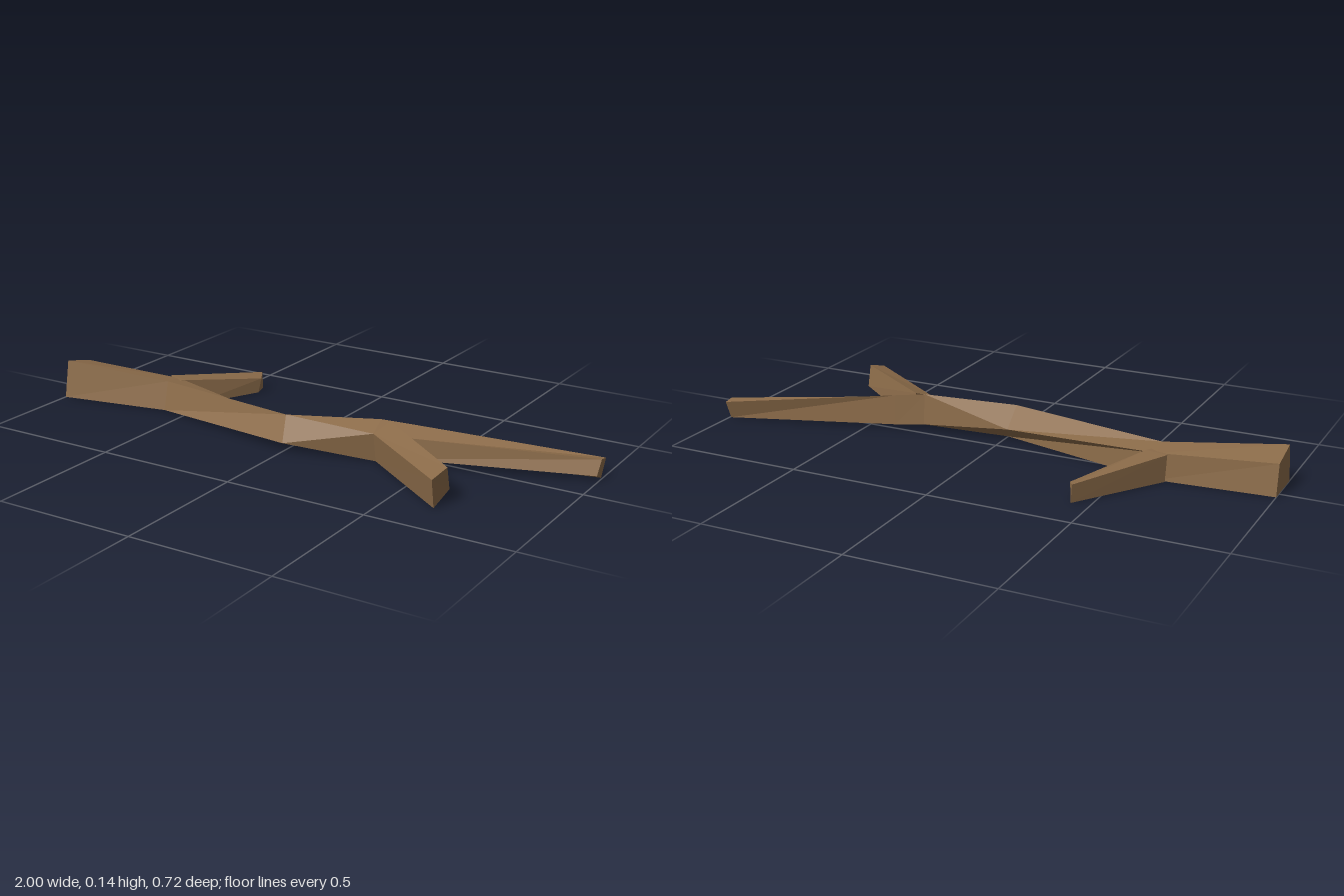
import * as THREE from 'three';

const bark = new THREE.MeshStandardMaterial({ color: 0x8b6b49, flatShading: true });
bark.name = 'bark brown';

// Four-sided limb lofted through sections, each listed as
// top right, top left, bottom left, bottom right along the direction of growth.
function limb(name, sections) {
  const pos = [];
  const quad = (a, b, c, d) => pos.push(...a, ...b, ...c, ...a, ...c, ...d);
  for (let k = 0; k < sections.length - 1; k++) {
    const s = sections[k], e = sections[k + 1];
    for (let i = 0; i < 4; i++) {
      const j = (i + 1) % 4;
      quad(s[i], e[i], e[j], s[j]);
    }
  }
  const first = sections[0], last = sections[sections.length - 1];
  quad(first[0], first[1], first[2], first[3]);
  quad(last[0], last[3], last[2], last[1]);
  const geo = new THREE.BufferGeometry();
  geo.setAttribute('position', new THREE.Float32BufferAttribute(pos, 3));
  geo.computeVertexNormals();
  const mesh = new THREE.Mesh(geo, bark);
  mesh.name = name;
  return mesh;
}

export function createModel() {
  const group = new THREE.Group();
  group.name = 'fallenBranch';

  // Main branch, thick end at -x, tapering and twisting towards +x
  group.add(limb('mainBranch', [
    [[-1, 0.135, 0.1], [-1, 0.108, -0.015], [-1, 0, -0.03], [-1, 0, 0.125]],
    [[-0.595, 0.103, 0.025], [-0.605, 0.092, -0.055], [-0.605, 0, -0.06], [-0.595, 0, 0.05]],
    [[-0.02, 0.112, 0.125], [-0.02, 0.045, 0.05], [0, 0, 0.1], [0, 0.03, 0.18]],
    [[0.31, 0.102, 0.11], [0.3, 0.13, 0.04], [0.3, 0.02, 0.03], [0.31, 0, 0.092]],
    [[0.4, 0.096, 0.077], [0.4, 0.121, 0.008], [0.4, 0.014, 0], [0.4, 0.024, 0.085]],
    [[1, 0.07, -0.146], [1, 0.064, -0.183], [0.995, 0, -0.163], [0.995, 0.018, -0.125]],
  ]));

  // Side twig growing to the front
  group.add(limb('frontTwig', [
    [[0.31, 0.102, 0.11], [0.335, 0.129, 0.04], [0.35, 0.021, 0.035], [0.31, 0, 0.092]],
    [[0.655, 0.098, 0.36], [0.67, 0.118, 0.287], [0.67, 0.04, 0.268], [0.655, 0, 0.343]],
  ]));

  // Side twig growing to the back
  group.add(limb('backTwig', [
    [[-0.595, 0.094, 0], [-0.605, 0.094, -0.01], [-0.62, 0, -0.01], [-0.575, 0, 0]],
    [[-0.565, 0.093, -0.047], [-0.645, 0.094, -0.062], [-0.64, 0, -0.062], [-0.545, 0, -0.047]],
    [[-0.415, 0.052, -0.314], [-0.44, 0.062, -0.357], [-0.437, 0, -0.358], [-0.42, 0, -0.3]],
  ]));

  return group;
}
